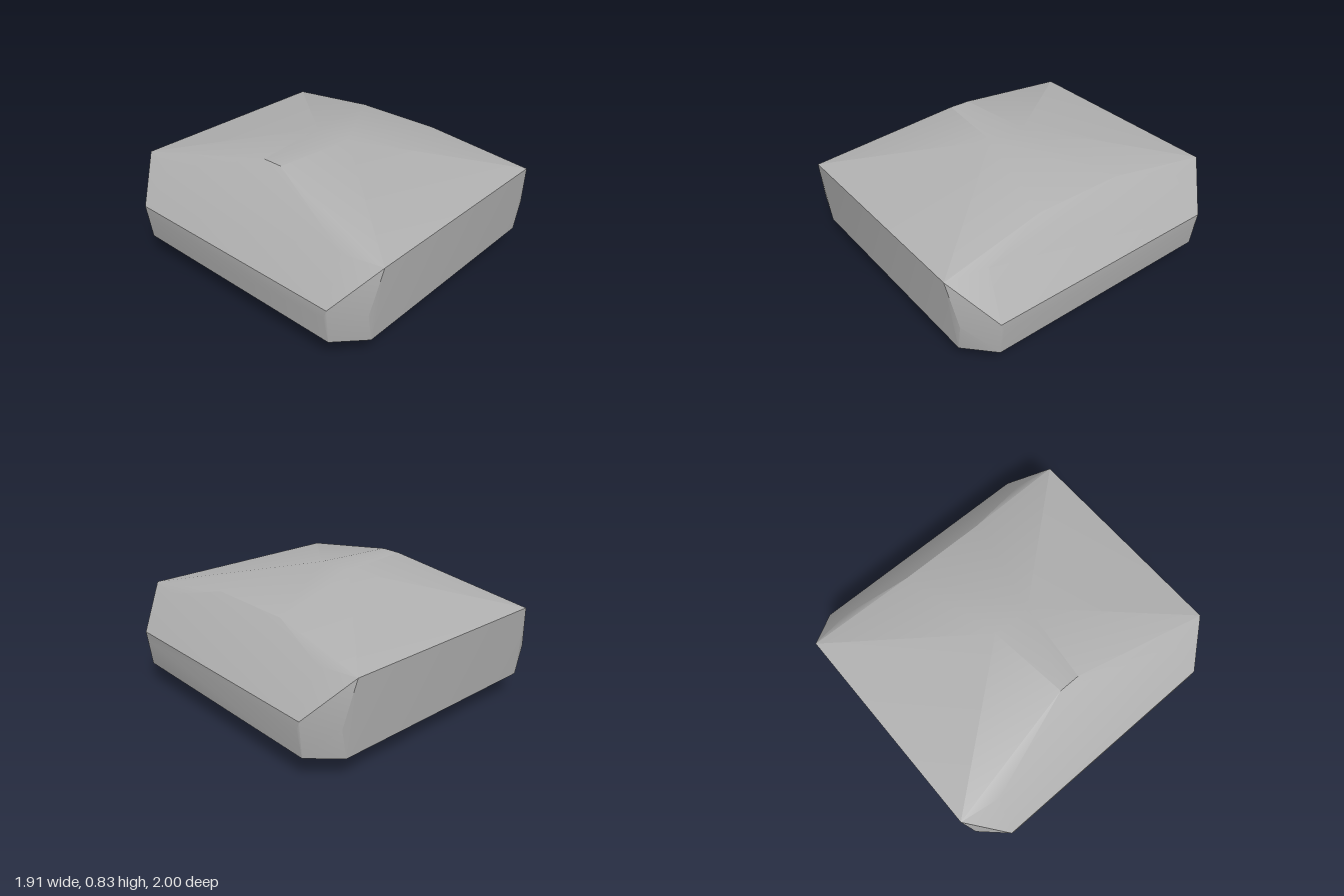
import * as THREE from 'three';
import { ConvexGeometry } from 'three/addons/geometries/ConvexGeometry.js';
import { toCreasedNormals } from 'three/addons/utils/BufferGeometryUtils.js';

export function createModel() {
  const group = new THREE.Group();
  const stone = new THREE.MeshStandardMaterial({ color: 0xb0b0b0 });
  stone.name = 'stone grey';

  // Corners of the front half; each is mirrored to the back
  const points = [];
  const add = (x, y, z) => points.push(new THREE.Vector3(x, y, z), new THREE.Vector3(x, y, -z));

  // Bottom facet
  add(-0.63, 0, 0.3);
  add(0.58, 0, 0.3);

  // Chamfered rings around the sides, the same on left and right
  for (const s of [-1, 1]) {
    add(s * 0.74, 0.125, 0.87);
    add(s * 0.93, 0.155, 0.79);
    add(s * 0.76, 0.155, 0.95);
    add(s * 0.955, 0.33, 0.78);
    add(s * 0.8, 0.35, 0.96);
    add(s * 0.955, 0.39, 0.8);
    add(s * 0.73, 0.64, 1);
    add(s * 0.77, 0.63, 0.74);
  }

  // Ridge on top, sloping down to the left shoulder
  add(-0.55, 0.83, 0.07);
  add(-0.02, 0.83, 0.13);
  add(0.67, 0.74, 0.3);

  const rock = new THREE.Mesh(toCreasedNormals(new ConvexGeometry(points), 0.6), stone);
  rock.name = 'rock';
  group.add(rock);
  return group;
}
